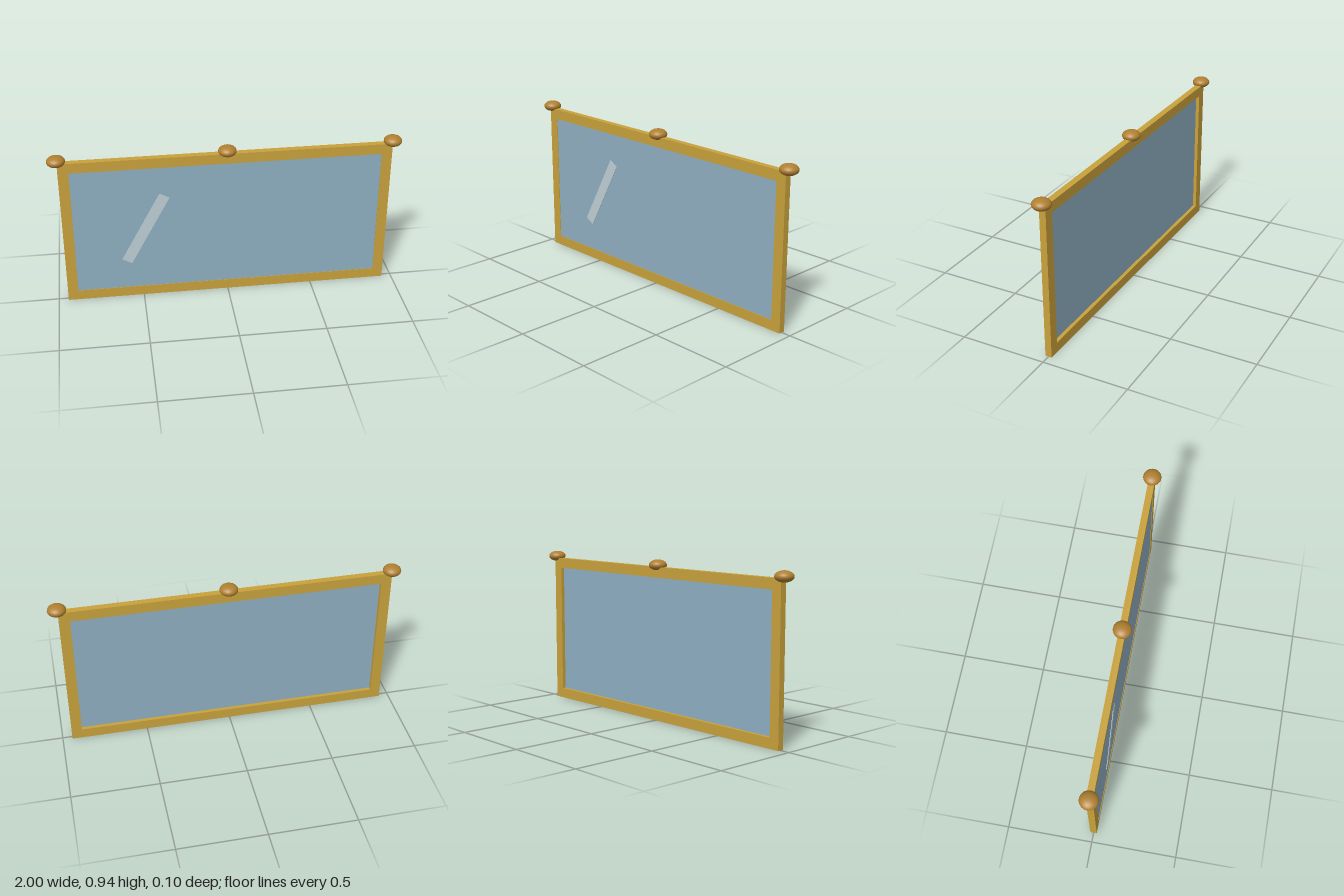
import * as THREE from 'three';

const W = 1.888, H = 0.896, D = 0.038, BAR = 0.06;

function mat(color) {
  return new THREE.MeshStandardMaterial({ color });
}

function addMesh(group, name, geometry, material, x, y, z) {
  const mesh = new THREE.Mesh(geometry, material);
  mesh.name = name;
  mesh.position.set(x, y, z);
  group.add(mesh);
  return mesh;
}

// Closed rectangle centred on the origin
function rectPoints(w, h) {
  return [[-w, -h], [w, -h], [w, h], [-w, h]].map(([x, y]) => new THREE.Vector2(x / 2, y / 2));
}

export function createModel() {
  const model = new THREE.Group();
  model.name = 'framedMirror';
  const gold = mat(0xc9a23c);
  const bronze = mat(0xb08030);

  // Rectangular frame with an open middle
  const outline = new THREE.Shape(rectPoints(W, H));
  outline.holes.push(new THREE.Path(rectPoints(W - 2 * BAR, H - 2 * BAR).reverse()));
  const frame = new THREE.ExtrudeGeometry(outline, { depth: D, bevelEnabled: false });
  addMesh(model, 'frame', frame, gold, 0, H / 2, -D / 2);

  // Pane set close to the front, leaving a deeper recess behind
  const pane = new THREE.BoxGeometry(W - 2 * BAR, H - 2 * BAR, 0.014);
  addMesh(model, 'glassPane', pane, mat(0x8fafc2), 0, H / 2, 0.009);

  // Slanted highlight strip on the pane
  const strip = new THREE.BoxGeometry(0.063, 0.476, 0.003);
  const highlight = addMesh(model, 'highlightStrip', strip, mat(0xbfd0d6), -0.475, 0.449, 0.0192);
  highlight.rotation.z = -0.5;

  // Flattened knobs along the top edge
  const knob = new THREE.SphereGeometry(0.052, 32, 20);
  knob.scale(1, 0.6, 1);
  ['rightKnob', 'middleKnob', 'leftKnob'].forEach((name, i) => {
    addMesh(model, name, knob, bronze, (i - 1) * 0.948, 0.907, 0);
  });

  return model;
}
